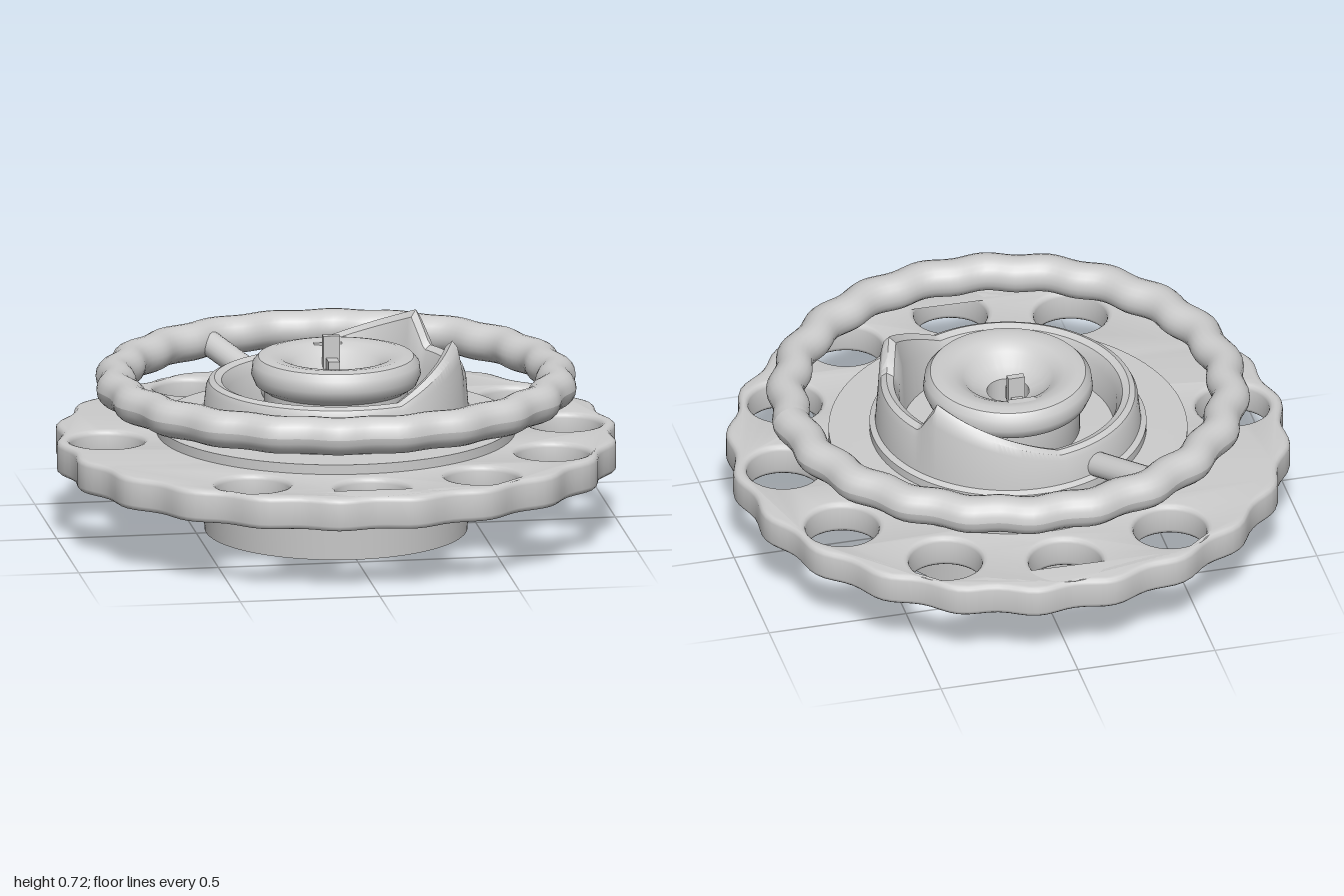
import * as THREE from 'three';
import { toCreasedNormals } from 'three/addons/utils/BufferGeometryUtils.js';

const TAU = Math.PI * 2;
const WAVES = 22; // grip scallops around both rims

export function createModel() {
  const model = new THREE.Group();
  const grey = new THREE.MeshStandardMaterial({ color: 0xcccccc });
  grey.name = 'light grey';

  function add(name, geometry) {
    const mesh = new THREE.Mesh(geometry, grey);
    mesh.name = name;
    model.add(mesh);
    return mesh;
  }

  // Closed revolved section, points listed counter-clockwise in (radius, height)
  function revolve(profile, segments = 96) {
    const points = [...profile, profile[0]].map(([r, y]) => new THREE.Vector2(r, y));
    return new THREE.LatheGeometry(points, segments);
  }
  const crease = (g) => toCreasedNormals(g, 0.6);

  // Hollow drum under the disc
  add('baseDrum', crease(revolve([[0.44, 0.24], [0.435, 0], [0.465, 0], [0.48, 0.24]])));

  // Scalloped disc with twelve flared holes
  const outline = [];
  for (let i = 0; i < 176; i++) {
    const a = (i / 176) * TAU;
    const r = 0.985 + 0.014 * Math.cos(WAVES * a);
    outline.push(new THREE.Vector2(r * Math.cos(a), r * Math.sin(a)));
  }
  const discShape = new THREE.Shape(outline);
  const addHole = (x, y, r) => discShape.holes.push(new THREE.Path().absarc(x, y, r, 0, TAU, true));
  addHole(0, 0, 0.15);
  for (let i = 0; i < 12; i++) {
    const a = (i / 12) * TAU;
    addHole(0.82 * Math.cos(a), 0.82 * Math.sin(a), 0.13);
  }
  const bevel = 0.02;
  const disc = new THREE.ExtrudeGeometry(discShape, {
    depth: 0.12 - 2 * bevel, curveSegments: 16,
    bevelSize: bevel, bevelThickness: bevel, bevelOffset: -bevel, bevelSegments: 3,
  });
  disc.rotateX(-Math.PI / 2).translate(0, 0.235 + bevel, 0);
  add('perforatedDisc', crease(disc));

  // Flat step on the disc
  add('stepPlate', crease(revolve([[0.2, 0.34], [0.635, 0.34], [0.635, 0.39], [0.48, 0.39], [0.2, 0.4]])));

  // Collar whose top edge rises into two cam teeth: [angle in degrees, height]
  const heights = [[-180, 0.55], [-100, 0.55], [-40, 0.715], [-31, 0.6], [19, 0.6], [26, 0.715], [68, 0.55], [180, 0.55]];
  function collarHeight(deg) {
    for (let i = 1; i < heights.length; i++) {
      const [a0, h0] = heights[i - 1];
      const [a1, h1] = heights[i];
      if (deg <= a1) return THREE.MathUtils.mapLinear(deg, a0, a1, h0, h1);
    }
    return 0.55;
  }
  const collar = revolve([
    [0.375, 0.385], [0.49, 0.385], [0.49, 0.42], [0.47, 0.43], [0.46, 0.52],
    [0.45, 0.54], [0.43, 0.55], [0.405, 0.54], [0.385, 0.5],
  ], 180);
  const cp = collar.attributes.position;
  for (let i = 0; i < cp.count; i++) {
    const y = cp.getY(i);
    if (y <= 0.43) continue;
    const h = collarHeight(THREE.MathUtils.radToDeg(Math.atan2(cp.getZ(i), cp.getX(i))));
    cp.setY(i, 0.43 + ((y - 0.43) * (h - 0.43)) / 0.12);
  }
  add('camCollar', crease(collar));

  // Bored central hub with a rounded head and a dished top
  add('centralHub', crease(revolve([
    [0.1, 0.09], [0.19, 0.09], [0.19, 0.24], [0.255, 0.38], [0.255, 0.51], [0.285, 0.53],
    [0.3, 0.565], [0.295, 0.605], [0.275, 0.628], [0.245, 0.635], [0.2, 0.628], [0.16, 0.605],
    [0.125, 0.565], [0.075, 0.545], [0.075, 0.2], [0.1, 0.18],
  ])));

  // Upright key and its seat in the hub dish
  const box = (name, w, h, d, x, y, z) => add(name, new THREE.BoxGeometry(w, h, d).translate(x, y, z));
  box('key', 0.06, 0.13, 0.025, 0, 0.61, -0.11);
  box('keySeat', 0.1, 0.06, 0.03, 0, 0.6, -0.2);
  box('keyStem', 0.04, 0.05, 0.16, 0, 0.57, -0.12);

  // Scalloped hand ring
  const ring = new THREE.TorusGeometry(0.78, 0.067, 20, 176).rotateX(Math.PI / 2);
  const rp = ring.attributes.position;
  for (let i = 0; i < rp.count; i++) {
    const x = rp.getX(i), z = rp.getZ(i);
    const s = 1 + 0.012 * Math.cos(WAVES * Math.atan2(z, x));
    rp.setXYZ(i, x * s, rp.getY(i), z * s);
  }
  ring.computeVertexNormals();
  ring.translate(0, 0.533, 0);
  add('handRing', ring);

  // Single spoke joining the collar to the hand ring
  const spokePath = new THREE.LineCurve3(new THREE.Vector3(-0.17, 0.43, -0.31), new THREE.Vector3(-0.365, 0.533, -0.68));
  add('spoke', new THREE.TubeGeometry(spokePath, 1, 0.045, 20));

  return model;
}
